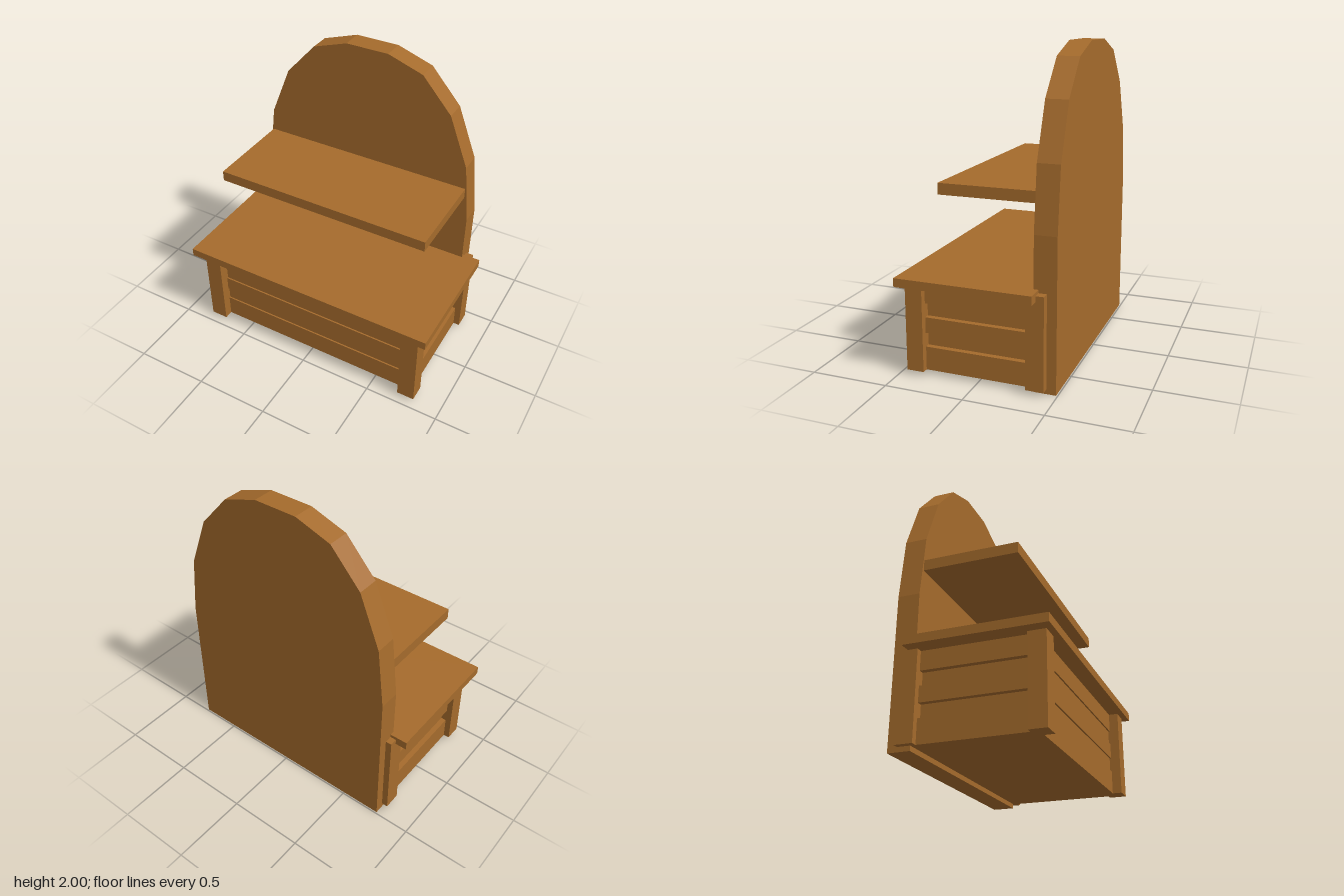
import * as THREE from 'three';

export function createModel() {
  const model = new THREE.Group();
  model.name = 'sideboard';
  const wood = new THREE.MeshStandardMaterial({ color: 0xa56b2c, flatShading: true });
  wood.name = 'brown wood';

  // Box given by its min and max corners
  function box(name, [x0, y0, z0], [x1, y1, z1]) {
    const mesh = new THREE.Mesh(new THREE.BoxGeometry(x1 - x0, y1 - y0, z1 - z0), wood);
    mesh.position.set((x0 + x1) / 2, (y0 + y1) / 2, (z0 + z1) / 2);
    mesh.name = name;
    model.add(mesh);
  }

  // Arched back panel, mirrored half outline
  const half = [[0.765, 0], [0.765, 0.955], [0.72, 1.355], [0.585, 1.695], [0.383, 1.92], [0.145, 2]];
  const outline = [...half, ...half.map(([x, y]) => [-x, y]).reverse()];
  const shape = new THREE.Shape(outline.map(([x, y]) => new THREE.Vector2(x, y)));
  const back = new THREE.Mesh(new THREE.ExtrudeGeometry(shape, { depth: 0.14, bevelEnabled: false }), wood);
  back.position.z = -0.49;
  back.name = 'backPanel';
  model.add(back);

  // Shelf and counter top
  box('shelf', [-0.73, 1.128, -0.36], [0.73, 1.198, 0.258]);
  box('counterTop', [-0.88, 0.58, -0.38], [0.88, 0.635, 0.49]);

  // Corner posts
  for (const [x0, x1] of [[-0.805, -0.688], [0.7, 0.817]]) {
    box('frontPost', [x0, 0.03, 0.34], [x1, 0.615, 0.45]);
    box('backPost', [x0, 0.03, -0.43], [x1, 0.615, -0.318]);
  }

  // Cabinet planks, alternately proud and recessed
  const levels = [0.03, 0.18, 0.27, 0.37, 0.46, 0.6];
  for (let i = 0; i < 5; i++) {
    const proud = i % 2 === 0;
    const x = proud ? 0.77 : 0.735;
    box('plank', [-x + 0.005, levels[i], -0.38], [x + 0.005, levels[i + 1], proud ? 0.39 : 0.38]);
  }
  return model;
}
